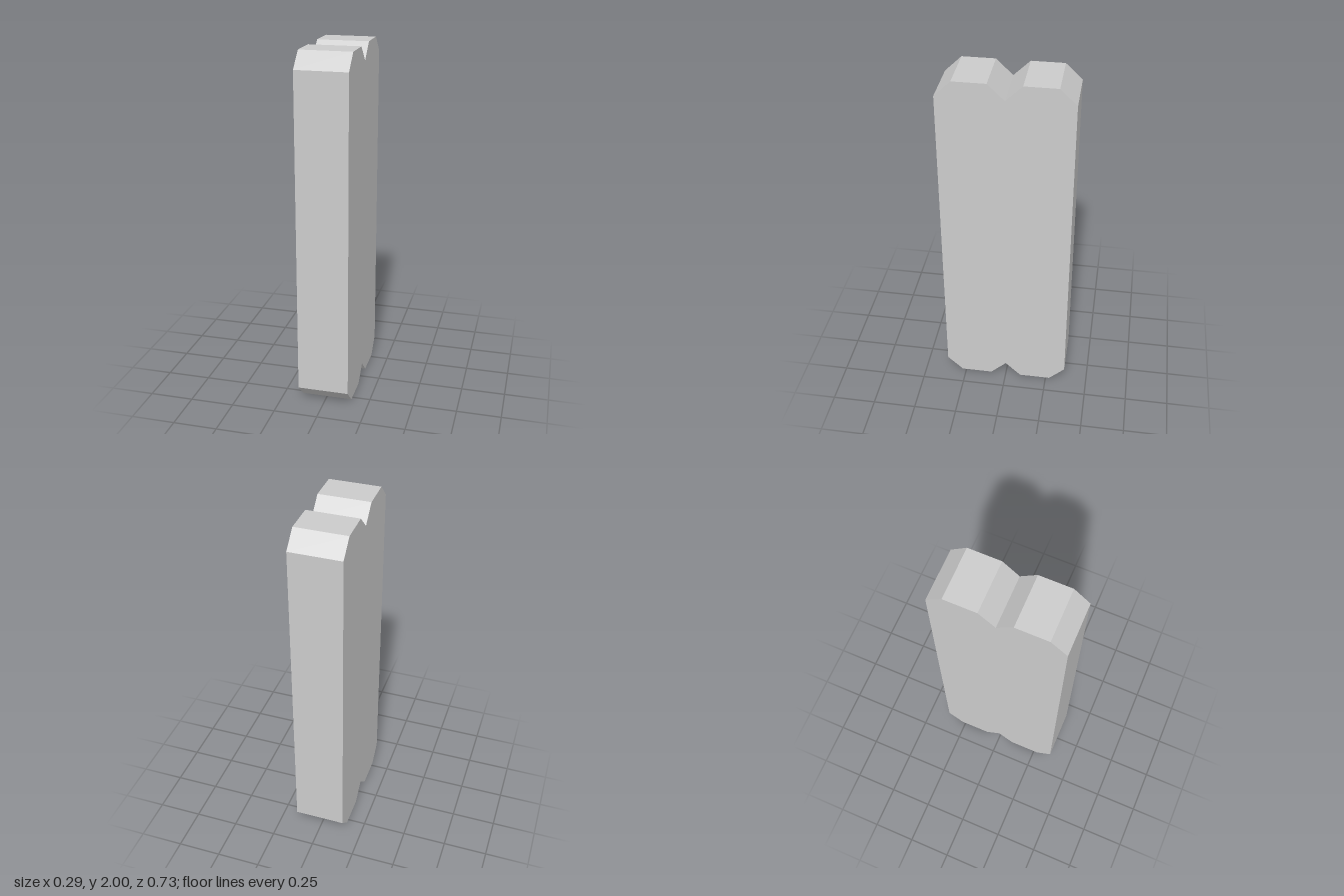
import * as THREE from 'three';

export function createModel() {
  const group = new THREE.Group();
  const height = 2, half = 0.364, chamfer = 0.091, rise = 0.088, thickness = 0.29;

  // Top edge of the side profile: two chamfered humps with a V notch between them
  const top = [
    [half, height - rise], [half - chamfer, height], [chamfer, height], [0, height - rise],
    [-chamfer, height], [chamfer - half, height], [-half, height - rise],
  ];
  // Bottom edge mirrors the top
  const bottom = top.map(([z, y]) => [z, height - y]).reverse();
  const profile = new THREE.Shape([...top, ...bottom].map(([z, y]) => new THREE.Vector2(z, y)));

  // Slab extruded across the width
  const geometry = new THREE.ExtrudeGeometry(profile, { depth: thickness, bevelEnabled: false });
  geometry.translate(0, 0, -thickness / 2);
  geometry.rotateY(-Math.PI / 2);

  const slab = new THREE.Mesh(
    geometry,
    new THREE.MeshStandardMaterial({ color: 0xcccccc, flatShading: true })
  );
  slab.name = 'notchedSlab';
  group.add(slab);
  return group;
}
